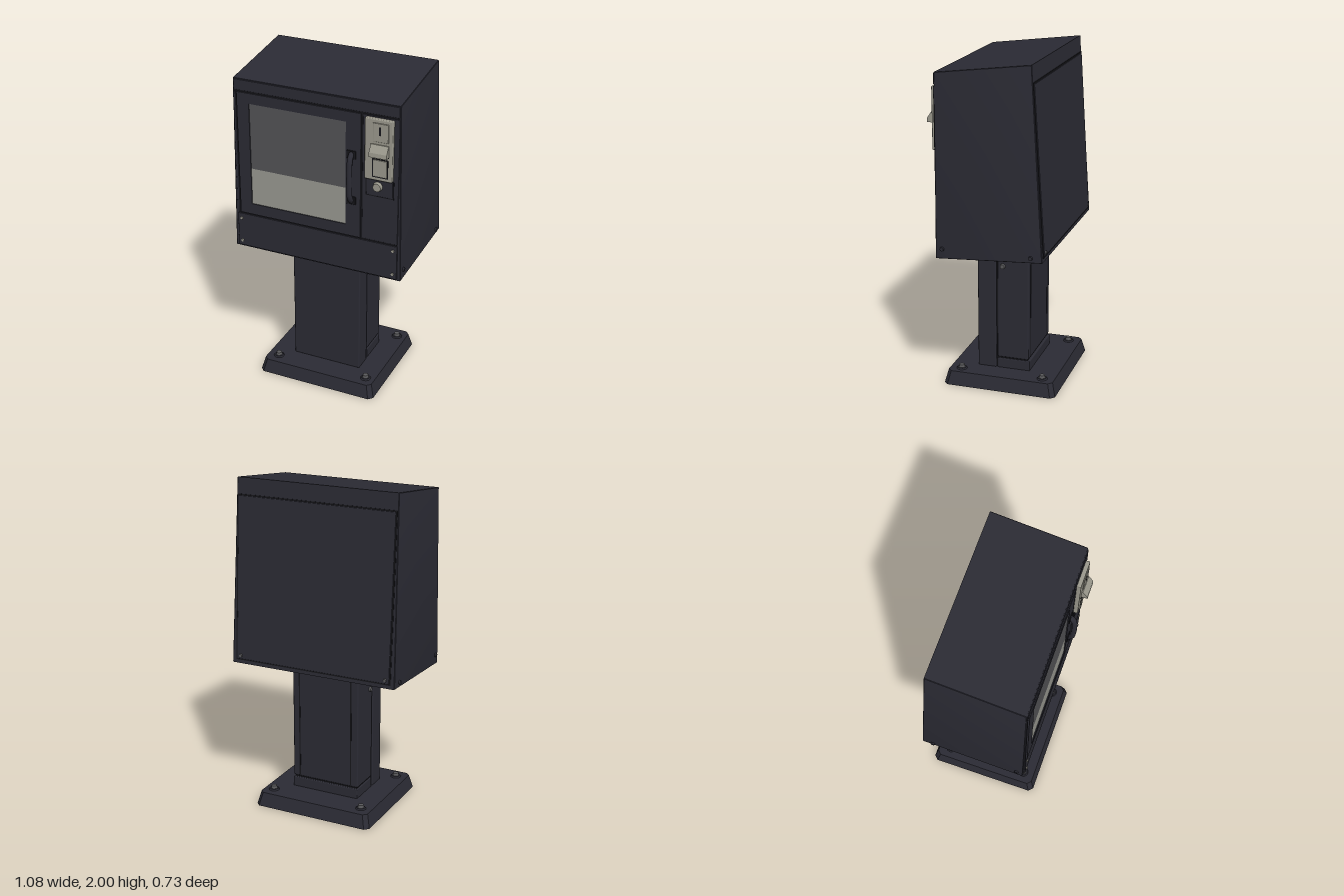
import * as THREE from 'three';
import { toCreasedNormals } from 'three/addons/utils/BufferGeometryUtils.js';
import { RoundedBoxGeometry } from 'three/addons/geometries/RoundedBoxGeometry.js';

export function createModel() {
  const root = new THREE.Group();
  root.name = 'vendingStand';

  const paint = (name, color) => {
    const m = new THREE.MeshStandardMaterial({ color });
    m.name = name;
    return m;
  };
  const body = paint('darkPaint', 0x2b2b34);
  const seam = paint('seamBlack', 0x17171b);
  const glass = paint('windowGrey', 0x535356);
  const paper = paint('paperGrey', 0x999991);
  const metal = paint('coinMetal', 0x9b998d);
  const bolt = paint('boltGrey', 0x5a5a5c);

  const add = (name, geo, mat, parent = root) => {
    const m = new THREE.Mesh(geo, mat);
    m.name = name;
    parent.add(m);
    return m;
  };
  // Box given by its limits, with optional rounded edges
  const box = (name, mat, [x0, x1], [y0, y1], [z0, z1], r = 0, parent = root) => {
    const s = [x1 - x0, y1 - y0, z1 - z0];
    const g = r ? new RoundedBoxGeometry(...s, 2, r) : new THREE.BoxGeometry(...s);
    g.translate((x0 + x1) / 2, (y0 + y1) / 2, (z0 + z1) / 2);
    return add(name, g, mat, parent);
  };
  // Bolt head pointing along a direction
  const stud = (name, mat, pos, dir, r = 0.012, h = 0.012) => {
    const m = add(name, new THREE.CylinderGeometry(r * 0.8, r, h, 12), mat);
    m.position.set(...pos);
    m.quaternion.setFromUnitVectors(new THREE.Vector3(0, 1, 0), new THREE.Vector3(...dir));
    return m;
  };
  const poly = (pts) => new THREE.Shape(pts.map((p) => new THREE.Vector2(...p)));

  // Cabinet: side profile (z, y) extruded along x, narrowing upwards
  const profile = poly([[0.298, 0.86], [0.298, 1.93], [-0.26, 2.0], [-0.332, 0.895]].reverse());
  const bevel = 0.008;
  const cab = new THREE.ExtrudeGeometry(profile, {
    depth: 2 - 2 * bevel, bevelEnabled: true, bevelThickness: bevel,
    bevelSize: bevel, bevelOffset: -bevel, bevelSegments: 2,
  });
  cab.rotateY(-Math.PI / 2).translate(1 - bevel, 0, 0);
  const p = cab.attributes.position;
  for (let i = 0; i < p.count; i++) {
    const half = 0.53 - 0.022 * (p.getY(i) - 0.86) / 1.14;
    p.setX(i, p.getX(i) * half);
  }
  add('cabinet', toCreasedNormals(cab, 0.5), body);

  // Front panels over a dark backing that shows as seams
  box('frontSeams', seam, [-0.502, 0.502], [0.87, 1.87], [0.292, 0.3]);
  box('lowerPanel', body, [-0.507, 0.507], [0.868, 1.082], [0.29, 0.306], 0.003);
  box('topBand', body, [-0.503, 0.503], [1.862, 1.925], [0.29, 0.304], 0.003);
  box('hingeStrip', body, [-0.508, -0.492], [1.092, 1.852], [0.29, 0.304], 0.003);
  box('coinSidePanel', body, [0.29, 0.506], [1.092, 1.852], [0.29, 0.304], 0.003);

  // Door frame with window
  const door = poly([[-0.484, 1.092], [0.28, 1.092], [0.28, 1.852], [-0.484, 1.852]]);
  door.holes.push(poly([[-0.408, 1.16], [-0.408, 1.79], [0.19, 1.79], [0.19, 1.16]]));
  const frame = new THREE.ExtrudeGeometry(door, { depth: 0.013, bevelEnabled: false });
  add('doorFrame', frame.translate(0, 0, 0.295), body);
  box('windowPane', glass, [-0.408, 0.19], [1.386, 1.79], [0.296, 0.302]);
  box('windowPaper', paper, [-0.408, 0.19], [1.16, 1.386], [0.296, 0.302]);

  // Door handle
  const grip = new THREE.CatmullRomCurve3([
    [0.225, 1.31, 0.3], [0.225, 1.34, 0.328], [0.225, 1.4, 0.337],
    [0.225, 1.52, 0.337], [0.225, 1.58, 0.328], [0.225, 1.61, 0.3],
  ].map((a) => new THREE.Vector3(...a)));
  add('handleGrip', new THREE.TubeGeometry(grip, 24, 0.016, 10), body);
  for (const y of [1.32, 1.6]) {
    box('handleMount', seam, [0.197, 0.253], [y - 0.025, y + 0.025], [0.3, 0.314], 0.004);
  }

  // Coin mechanism
  box('coinPlate', metal, [0.31, 0.475], [1.482, 1.845], [0.3, 0.328], 0.006);
  box('coinSlotPlate', metal, [0.36, 0.452], [1.715, 1.825], [0.32, 0.333], 0.004);
  box('coinSlot', seam, [0.398, 0.408], [1.755, 1.805], [0.33, 0.335]);
  const lip = new THREE.ExtrudeGeometry(
    poly([[0.325, 1.635], [0.365, 1.635], [0.362, 1.66], [0.335, 1.70], [0.325, 1.70]]),
    { depth: 0.105, bevelEnabled: false });
  add('coinLip', lip.rotateY(-Math.PI / 2).translate(0.455, 0, 0), metal);
  box('lipShadowGap', seam, [0.342, 0.455], [1.627, 1.635], [0.325, 0.331]);
  box('returnDoorSeam', seam, [0.357, 0.452], [1.502, 1.615], [0.322, 0.33]);
  box('returnDoor', metal, [0.363, 0.446], [1.508, 1.609], [0.322, 0.334], 0.004);
  box('lockPlate', seam, [0.31, 0.48], [1.372, 1.478], [0.3, 0.307]);
  box('lockPlateFace', body, [0.316, 0.474], [1.378, 1.476], [0.301, 0.311], 0.003);
  stud('lockKnob', metal, [0.386, 1.438, 0.318], [0, 0, 1], 0.03, 0.024);

  // Back panel follows the sloping rear wall
  const back = new THREE.Group();
  back.name = 'backPanel';
  back.position.set(0, 1.41, -0.2985);
  back.rotation.x = Math.atan(0.072 / 1.105);
  root.add(back);
  box('backSeam', seam, [-0.503, 0.503], [-0.495, 0.495], [-0.003, 0.004], 0, back);
  box('backPlate', body, [-0.495, 0.495], [-0.487, 0.487], [-0.007, 0.004], 0.003, back);

  // Cabinet fasteners
  for (const s of [-1, 1]) {
    for (const y of [0.9, 1.05]) stud('panelScrew', metal, [s * 0.482, y, 0.308], [0, 0, 1], 0.01, 0.008);
    for (const z of [-0.265, 0.26]) stud('sideBolt', body, [s * 0.53, 0.92, z], [s, 0, 0], 0.014, 0.016);
    stud('backBolt', bolt, [s * 0.47, 0.945, -0.337], [0, 0, -1]);
  }

  // Pedestal: front channel, inset rear cover and foot flange
  box('pedestalFront', body, [-0.222, 0.218], [0.08, 0.89], [0.042, 0.157], 0.008);
  box('pedestalCore', seam, [-0.212, 0.208], [0.08, 0.89], [-0.152, 0.06]);
  box('pedestalRear', body, [-0.22, 0.216], [0.152, 0.89], [-0.16, 0.034], 0.008);
  box('pedestalFoot', body, [-0.22, 0.216], [0.08, 0.144], [-0.168, 0.034], 0.006);
  for (const s of [-1, 1]) {
    box('rearSeam', seam, [s * 0.172 - 0.004, s * 0.172 + 0.004], [0.16, 0.89], [-0.1615, -0.155]);
    stud('pedestalBolt', bolt, [s * 0.222, 0.735, 0], [s, 0, 0], 0.017, 0.018);
  }

  // Base plate: chamfered rectangle narrowing towards the top
  const w = 0.38, d = 0.346, c = 0.025;
  const outline = poly([[-w + c, -d], [w - c, -d], [w, -d + c], [w, d - c],
    [w - c, d], [-w + c, d], [-w, d - c], [-w, -d + c]]);
  const base = new THREE.ExtrudeGeometry(outline, { depth: 0.083, bevelEnabled: false });
  base.rotateX(-Math.PI / 2);
  const b = base.attributes.position;
  for (let i = 0; i < b.count; i++) {
    if (b.getY(i) < 0.04) continue;
    b.setX(i, b.getX(i) * 0.945);
    b.setZ(i, b.getZ(i) * 0.94);
  }
  base.computeVertexNormals();
  add('basePlate', base.translate(-0.005, 0, -0.019), body);
  for (const x of [-0.295, 0.295]) {
    for (const z of [-0.27, 0.235]) {
      stud('anchorWasher', body, [x, 0.086, z], [0, 1, 0], 0.034, 0.01);
      stud('anchorBolt', bolt, [x, 0.097, z], [0, 1, 0], 0.02, 0.022);
    }
  }
  return root;
}
